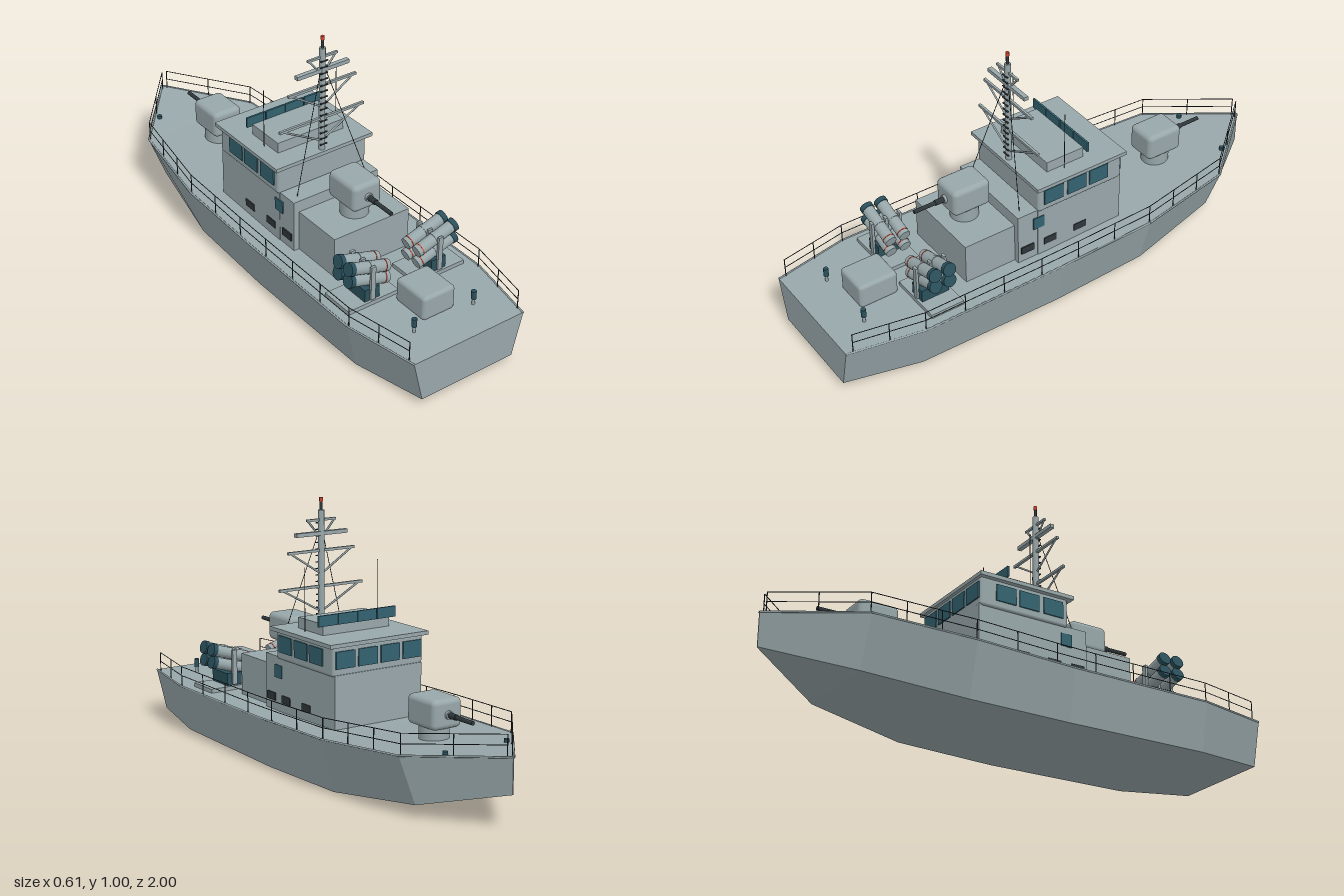
import * as THREE from 'three';
import { RoundedBoxGeometry } from 'three/addons/geometries/RoundedBoxGeometry.js';

const paint = (name, color) => {
  const m = new THREE.MeshStandardMaterial({ color });
  m.name = name;
  return m;
};

export function createModel() {
  const root = new THREE.Group();
  root.name = 'patrolBoat';
  const grey = paint('hullGrey', 0x98a7aa);
  const glass = paint('windowTeal', 0x336370);
  const teal = paint('darkTeal', 0x2a505c);
  const dark = paint('darkMetal', 0x2f3639);
  const red = paint('signalRed', 0xd0442c);

  const group = (name, parent = root) => {
    const g = new THREE.Group();
    g.name = name;
    parent.add(g);
    return g;
  };
  const add = (name, geo, mat, x, y, z, parent = root) => {
    const m = new THREE.Mesh(geo, mat);
    m.name = name;
    m.position.set(x, y, z);
    parent.add(m);
    return m;
  };
  // boxes given by their min and max extents
  const box = (name, mat, x0, x1, y0, y1, z0, z1, parent = root, round = 0) => {
    const s = [x1 - x0, y1 - y0, z1 - z0];
    const geo = round ? new RoundedBoxGeometry(...s, 3, round) : new THREE.BoxGeometry(...s);
    return add(name, geo, mat, (x0 + x1) / 2, (y0 + y1) / 2, (z0 + z1) / 2, parent);
  };
  // cylinder between two points
  const rod = (name, mat, a, b, r, parent = root, sides = 8) => {
    const p = new THREE.Vector3(...a), q = new THREE.Vector3(...b);
    const d = q.clone().sub(p);
    const m = add(name, new THREE.CylinderGeometry(r, r, d.length(), sides), mat, 0, 0, 0, parent);
    m.position.copy(p).add(q).multiplyScalar(0.5);
    m.quaternion.setFromUnitVectors(new THREE.Vector3(0, 1, 0), d.normalize());
    return m;
  };

  // Hull stations, bow to stern: z, deck half width, deck y, bottom half width, bottom y
  const stations = [
    [-1, 0.002, 0.262, 0.002, 0.13],
    [-0.7, 0.253, 0.237, 0.18, 0.048],
    [-0.31, 0.305, 0.212, 0.25, 0.006],
    [0.1, 0.305, 0.2, 0.262, 0.001],
    [0.7, 0.305, 0.2, 0.262, 0.01],
    [1, 0.247, 0.2, 0.205, 0.028],
  ];
  const loops = stations.map(([z, w, y, bw, by]) =>
    [[-bw, by, z], [bw, by, z], [w, y, z], [-w, y, z]].map((p) => new THREE.Vector3(...p)));
  const pos = [], nor = [];
  // one flat normal per panel, from its diagonals
  const quad = (a, b, c, d) => {
    const n = c.clone().sub(a).cross(d.clone().sub(b)).normalize();
    for (const p of [a, b, c, a, c, d]) {
      pos.push(...p.toArray());
      nor.push(...n.toArray());
    }
  };
  for (let i = 0; i < loops.length - 1; i++) {
    const a = loops[i], b = loops[i + 1];
    for (let k = 0; k < 4; k++) quad(a[k], a[(k + 1) % 4], b[(k + 1) % 4], b[k]);
  }
  quad(...loops[loops.length - 1]);
  quad(...loops[0].slice().reverse());
  const hullGeo = new THREE.BufferGeometry();
  hullGeo.setAttribute('position', new THREE.Float32BufferAttribute(pos, 3));
  hullGeo.setAttribute('normal', new THREE.Float32BufferAttribute(nor, 3));
  add('hull', hullGeo, grey, 0, 0, 0);

  // deck edge position at any z
  const edge = (z, s, lift = 0, inset = 0.008) => {
    let i = 0;
    while (i < stations.length - 2 && z > stations[i + 1][0]) i++;
    const a = stations[i], b = stations[i + 1], t = (z - a[0]) / (b[0] - a[0]);
    const w = a[1] + (b[1] - a[1]) * t, y = a[2] + (b[2] - a[2]) * t;
    return [s * Math.max(w - inset, 0.002), y + lift, z];
  };

  // Gunwale and railings
  const posts = [-0.98, -0.84, -0.7, -0.57, -0.44, -0.31, -0.142, 0.027, 0.195, 0.363, 0.532, 0.7, 0.835, 0.97];
  const railing = group('railing');
  for (const s of [-1, 1]) {
    for (let i = 0; i < stations.length - 1; i++)
      rod('gunwale', grey, edge(stations[i][0], s, -0.001, 0.002), edge(stations[i + 1][0], s, -0.001, 0.002), 0.004, root, 6);
    posts.forEach((z, i) => {
      rod('railPost', dark, edge(z, s), edge(z, s, 0.077), 0.002, railing, 5);
      if (!i) return;
      for (const h of [0.04, 0.077])
        rod('rail', dark, edge(posts[i - 1], s, h), edge(z, s, h), 0.0016, railing, 5);
    });
    // Mooring bollards
    for (const z of [-0.805, 0.86]) {
      rod('bollardStem', grey, [s * 0.135, 0.195, z], [s * 0.135, 0.226, z], 0.006, root, 10);
      rod('bollard', teal, [s * 0.135, 0.224, z], [s * 0.135, 0.258, z], 0.01, root, 10);
    }
  }

  // Deckhouse, bridge and roof
  box('deckhouse', grey, -0.195, 0.195, 0.19, 0.412, -0.24, 0.14);
  box('aftDeckhouse', grey, -0.193, 0.193, 0.19, 0.412, 0.139, 0.228);
  box('gunPlatform', grey, -0.17, 0.17, 0.19, 0.365, 0.227, 0.445);
  box('bridge', grey, -0.202, 0.202, 0.405, 0.52, -0.238, 0.142, root, 0.012);
  box('bridgeRoof', grey, -0.22, 0.22, 0.515, 0.53, -0.248, 0.157);
  box('roofHouse', grey, -0.15, 0.15, 0.53, 0.572, -0.097, 0.068);
  const windows = group('windows');
  for (let i = 0; i < 4; i++) {
    const x = -0.15 + i * 0.1;
    box('frontWindow', glass, x - 0.042, x + 0.042, 0.435, 0.5, -0.243, -0.235, windows);
    const px = -0.132 + i * 0.088;
    box('windScreen', glass, px - 0.042, px + 0.042, 0.565, 0.606, -0.105, -0.097, windows);
  }
  for (const s of [-1, 1]) {
    const plate = (name, mat, x, y, z, h, w) =>
      box(name, mat, s * x - 0.004, s * x + 0.004, y - h / 2, y + h / 2, z - w / 2, z + w / 2, windows);
    for (const z of [0.075, -0.03, -0.13]) plate('sideWindow', glass, 0.203, 0.468, z, 0.065, 0.085);
    plate('doorWindow', glass, 0.194, 0.355, 0.137, 0.05, 0.048);
    for (const z of [0.187, 0.085, -0.053]) plate('sideVent', dark, 0.194, 0.252, z, 0.03, 0.056);
    rod('whipAntenna', dark, [s * 0.165, 0.53, 0], [s * 0.165, 0.77, 0], 0.0015, root, 5);
  }

  // Gun turrets, built aiming toward +z
  const gun = (name, y, z, turn) => {
    const g = group(name);
    g.position.set(0, y, z);
    g.rotation.y = turn;
    rod('gunPedestal', grey, [0, -0.015, 0], [0, 0.065, 0], 0.055, g, 24);
    box('gunHouse', grey, -0.064, 0.064, 0.05, 0.16, -0.08, 0.08, g, 0.02);
    rod('barrelSleeve', grey, [0, 0.104, 0.07], [0, 0.104, 0.09], 0.016, g, 16);
    rod('barrelJacket', dark, [0, 0.104, 0.08], [0, 0.104, 0.125], 0.011, g, 12);
    rod('barrel', dark, [0, 0.104, 0.12], [0, 0.104, 0.215], 0.008, g, 12);
  };
  gun('aftGun', 0.365, 0.338, 0);
  gun('foreGun', 0.225, -0.57, Math.PI);

  // Stern locker
  box('sternLocker', grey, -0.072, 0.072, 0.195, 0.295, 0.675, 0.835, root, 0.015);

  // Twin-by-twin missile launchers facing outboard
  for (const s of [-1, 1]) {
    const g = group(s > 0 ? 'leftLauncher' : 'rightLauncher');
    const [x0, x1] = s > 0 ? [0.04, 0.265] : [-0.265, -0.04];
    box('launcherPlatform', grey, x0, x1, 0.195, 0.216, 0.518, 0.655, g);
    box('launcherBase', teal, s * 0.152 - 0.033, s * 0.152 + 0.033, 0.215, 0.266, 0.53, 0.645, g);
    for (const z of [0.528, 0.588, 0.648])
      box('launcherPost', grey, s * 0.153 - 0.01, s * 0.153 + 0.01, 0.22, 0.36, z - 0.005, z + 0.005, g);
    for (const z of [0.558, 0.618])
      for (const y of [0, 0.05]) {
        const at = (t) => [s * (0.07 + 0.165 * t), 0.265 + y + 0.05 * t, z];
        rod('launchTube', grey, at(-0.02), at(1), 0.023, g, 20);
        rod('muzzleCollar', teal, at(0.93), at(1.04), 0.026, g, 20);
        rod('warningRing', red, at(0.075), at(0.095), 0.0242, g, 20);
        rod('tubeBand', grey, at(0.45), at(0.52), 0.025, g, 20);
      }
  }

  // Mast with yards, struts, rungs and stays
  const mast = group('mast');
  const mz = 0.135;
  rod('mastPole', grey, [0, 0.525, mz], [0, 0.955, mz], 0.012, mast, 12);
  rod('topPole', dark, [0, 0.95, mz], [0, 0.99, mz], 0.006, mast, 10);
  rod('topLight', red, [0, 0.988, mz], [0, 1.003, mz], 0.007, mast, 12);
  for (let y = 0.555; y < 0.92; y += 0.025)
    box('rung', dark, -0.016, 0.016, y - 0.002, y + 0.002, mz + 0.008, mz + 0.014, mast);
  // yards: y, half span, thickness, strut foot y
  for (const [y, w, t, foot] of [[0.663, 0.19, 0.01, 0.565], [0.801, 0.152, 0.01, 0.71], [0.918, 0.066, 0.009, 0.845]]) {
    box('yard', grey, -w, w, y - t / 2, y + t / 2, mz - t / 2, mz + t / 2, mast);
    for (const s of [-1, 1]) rod('yardStrut', grey, [s * w * 0.93, y, mz], [0, foot, mz], 0.004, mast, 6);
  }
  box('radarBar', grey, -0.116, 0.116, 0.859, 0.874, mz - 0.009, mz + 0.009, mast);
  for (const s of [-1, 1])
    rod('stay', dark, [0, 0.9, mz], [s * 0.156, 0.412, 0.197], 0.0014, mast, 5);

  return root;
}
